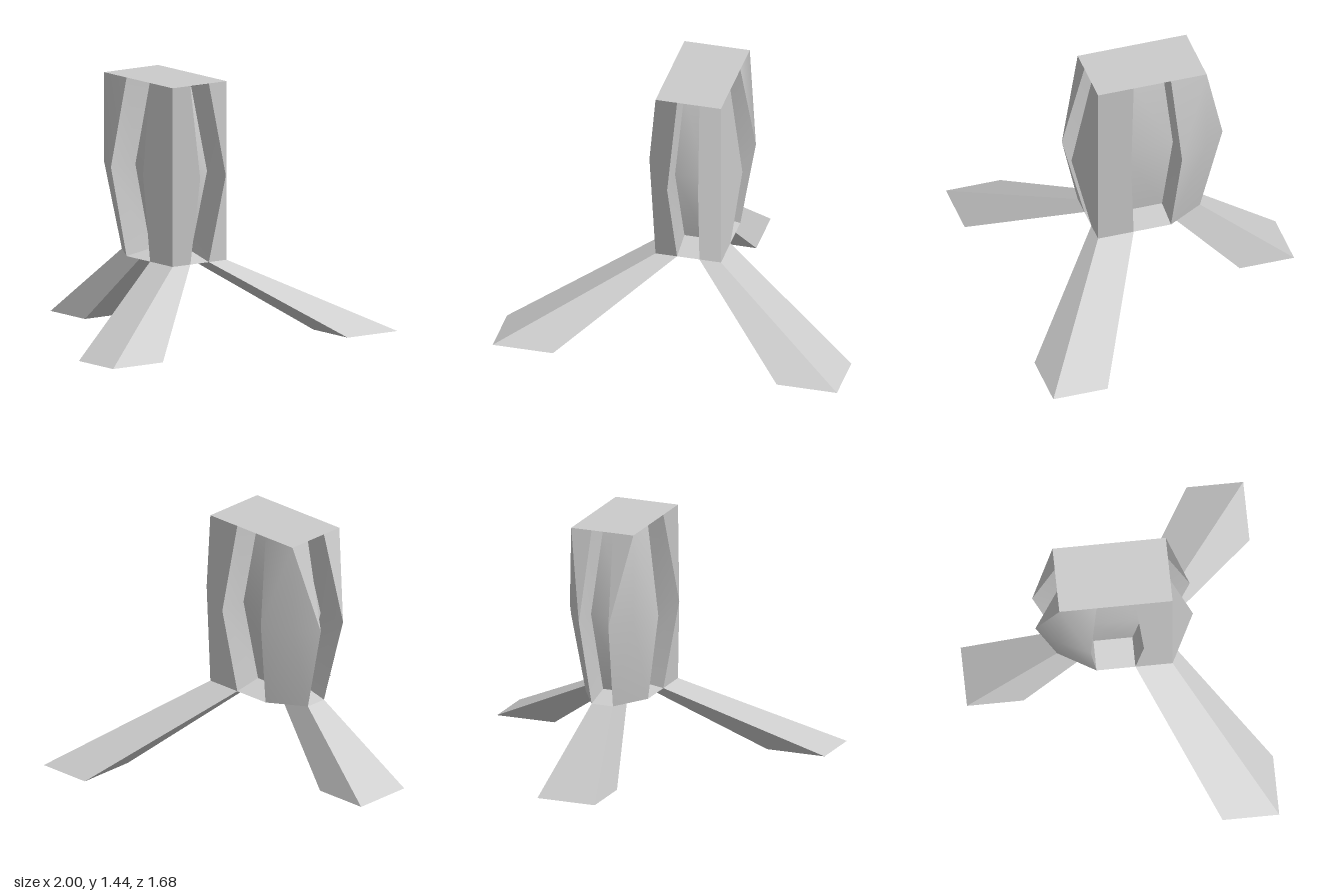
import * as THREE from 'three';
import { toCreasedNormals } from 'three/addons/utils/BufferGeometryUtils.js';

const TOP = 1.44, MID = 0.93, LOW = 0.42;
const HX = 0.19, HZ = 0.32;          // half width and half depth of the body
const GX = 0.065, GZ = 0.11;         // half width of the grooves at top and bottom
const v = (x, y, z) => new THREE.Vector3(x, y, z);
const material = new THREE.MeshStandardMaterial({ color: 0xcccccc });

// Builds a mesh from [corners, outward direction] faces, each fanned from its
// first corner with one shared normal; a crease angle smooths soft edges.
function facesMesh(name, faces, crease = 0) {
  const pos = [], nor = [];
  for (const [corners, out] of faces) {
    let pts = corners;
    const n = v(0, 0, 0);
    for (let i = 1; i < pts.length - 1; i++) {
      n.add(pts[i].clone().sub(pts[0]).cross(pts[i + 1].clone().sub(pts[0])));
    }
    if (n.dot(out) < 0) {
      n.negate();
      pts = [pts[0], ...pts.slice(1).reverse()];
    }
    n.normalize();
    for (let i = 1; i < pts.length - 1; i++) {
      for (const p of [pts[0], pts[i], pts[i + 1]]) {
        pos.push(p.x, p.y, p.z);
        nor.push(n.x, n.y, n.z);
      }
    }
  }
  let geo = new THREE.BufferGeometry();
  geo.setAttribute('position', new THREE.Float32BufferAttribute(pos, 3));
  geo.setAttribute('normal', new THREE.Float32BufferAttribute(nor, 3));
  if (crease) geo = toCreasedNormals(geo, crease);
  const mesh = new THREE.Mesh(geo, material);
  mesh.name = name;
  return mesh;
}

// Corner post: straight outer edge, inner edges bulging at mid height
function post(sx, sz) {
  const p = (x, y, z) => v(sx * x, y, sz * z);
  const outX = v(sx, 0, 0), outZ = v(0, 0, sz), out = v(sx, 0, sz);
  const a = [p(GX, TOP, HZ), p(0.09, MID, 0.445), p(GX, LOW, HZ)];
  const b = [p(HX, TOP, GZ), p(0.27, MID, 0.15), p(HX, LOW, GZ)];
  const top = p(HX, TOP, HZ), mid = p(HX, MID, HZ), low = p(HX, LOW, HZ);
  const side = sx > 0 ? 'Left' : 'Right';
  if (sz > 0) {
    return facesMesh('front' + side + 'Post', [
      [[a[1], a[2], low, top, a[0]], outZ],
      [[b[1], b[2], low, top, b[0]], outX],
    ]);
  }
  // Rear posts taper into a cut-off lower corner
  return facesMesh('back' + side + 'Post', [
    [[a[1], top, a[0]], outZ],
    [[a[1], mid, top], out],
    [[b[1], top, b[0]], outX],
    [[b[1], mid, top], out],
    [[a[1], a[2], mid], out],
    [[mid, a[2], b[2]], out],
    [[b[1], mid, b[2]], out],
  ], 0.9);
}

// Bowed groove between two posts, sunk along the normals of its opening
function groove(name, w0, w1, r0, r1, depth, angle) {
  const tilt = Math.atan2(r1 - r0, TOP - MID);
  const dy = depth * Math.sin(tilt), dz = depth * Math.cos(tilt);
  const rim = (s) => [v(s * w0, TOP, r0), v(s * w1, MID, r1), v(s * w0, LOW, r0)];
  const bed = (s) => [
    v(s * w0, TOP - dy, r0 - dz), v(s * w1, MID, r1 - depth / Math.cos(tilt)), v(s * w0, LOW + dy, r0 - dz),
  ];
  const [rl, rr, bl, br] = [rim(-1), rim(1), bed(-1), bed(1)];
  const faces = [
    [[rl[0], rr[0], br[0], bl[0]], v(0, -1, 0)],
    [[rl[2], rr[2], br[2], bl[2]], v(0, 1, 0)],
  ];
  for (const i of [0, 1]) {
    faces.push(
      [[bl[i], br[i], br[i + 1], bl[i + 1]], v(0, 0, 1)],
      [[rl[i], bl[i], bl[i + 1], rl[i + 1]], v(1, 0, 0)],
      [[rr[i], br[i], br[i + 1], rr[i + 1]], v(-1, 0, 0)],
    );
  }
  const mesh = facesMesh(name, faces, 0.7);
  mesh.rotation.y = angle;
  return mesh;
}

// Splayed leg between two level rectangles given as [x0, x1, z0, z1]
function leg(name, hip, foot) {
  const ring = ([x0, x1, z0, z1], y) => [v(x0, y, z0), v(x1, y, z0), v(x1, y, z1), v(x0, y, z1)];
  const t = ring(hip, LOW), f = ring(foot, 0);
  const outs = [v(0, 0, -1), v(1, 0, 0), v(0, 0, 1), v(-1, 0, 0)];
  const faces = [[f, v(0, -1, 0)]];
  for (let i = 0; i < 4; i++) {
    const j = (i + 1) % 4;
    // Wall direction follows the ring order, whatever the lean
    const n = t[j].clone().sub(t[i]).cross(f[i].clone().sub(t[i]));
    faces.push([[t[i], t[j], f[j], f[i]], n.dot(outs[i]) < 0 ? n.negate() : n]);
  }
  return facesMesh(name, faces);
}

export function createModel() {
  const model = new THREE.Group();
  model.name = 'threeLeggedPod';

  // Lid and floor of the body
  model.add(facesMesh('topPlate', [
    [[v(-HX, TOP, HZ), v(HX, TOP, HZ), v(HX, TOP, -HZ), v(-HX, TOP, -HZ)], v(0, 1, 0)],
  ]));
  model.add(facesMesh('bottomPlate', [
    [[v(-HX, LOW, HZ), v(HX, LOW, HZ), v(HX, LOW, -GZ), v(GX, LOW, -HZ), v(-GX, LOW, -HZ), v(-HX, LOW, -GZ)],
      v(0, -1, 0)],
  ]));

  for (const sx of [1, -1]) for (const sz of [1, -1]) model.add(post(sx, sz));

  // Grooves on all four sides
  ['frontGroove', 'leftGroove', 'backGroove', 'rightGroove'].forEach((name, i) => {
    const size = i % 2 ? [GZ, 0.15, HX, 0.27] : [GX, 0.09, HZ, 0.445];
    model.add(groove(name, ...size, 0.17, i * Math.PI / 2));
  });

  // Two front legs and one rear leg
  model.add(leg('frontLeftLeg', [GX, HX, GZ, HZ], [0.65, 1, 0.52, 0.84]));
  model.add(leg('frontRightLeg', [-HX, -GX, GZ, HZ], [-1, -0.65, 0.52, 0.84]));
  model.add(leg('backLeg', [-GX, GX, -HZ, -GZ], [-0.175, 0.175, -0.84, -0.52]));
  return model;
}
